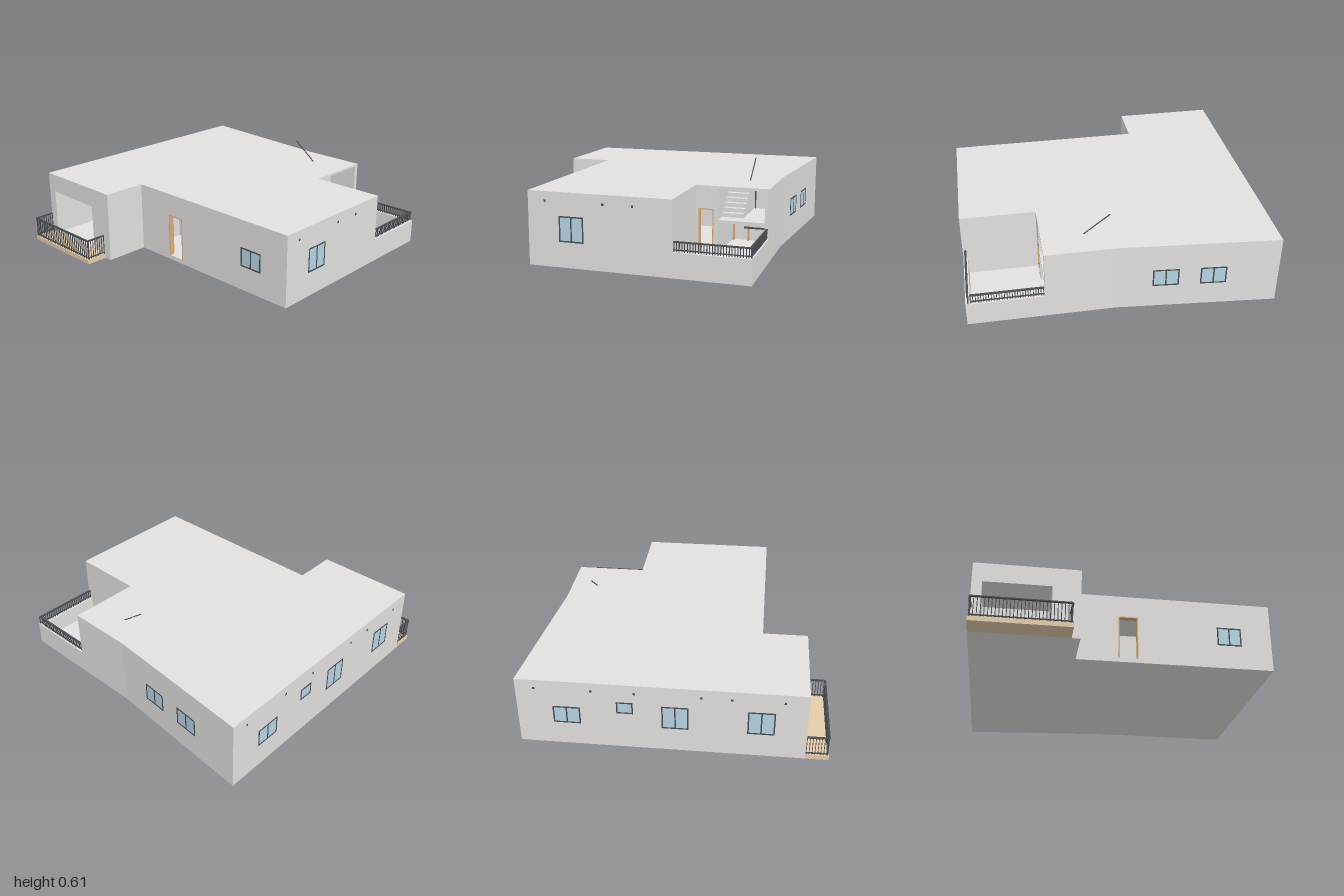
import * as THREE from 'three';

const mat = (name, color) => {
  const m = new THREE.MeshStandardMaterial({ color });
  m.name = name;
  return m;
};

export function createModel() {
  const house = new THREE.Group();
  house.name = 'house';
  const wall = mat('plaster grey', 0xe2e1df);
  const dark = mat('dark metal', 0x4a4e52);
  const glass = mat('window glass', 0xb8d5e5);
  const tan = mat('terrace tan', 0xe5cdab);
  const wood = mat('door wood', 0xdcae78);

  // Box between two corners
  function box(parent, name, m, x0, x1, y0, y1, z0, z1) {
    const mesh = new THREE.Mesh(new THREE.BoxGeometry(x1 - x0, y1 - y0, z1 - z0), m);
    mesh.position.set((x0 + x1) / 2, (y0 + y1) / 2, (z0 + z1) / 2);
    mesh.name = name;
    parent.add(mesh);
  }

  // One storey slice of the house; cut-outs make the balcony, stairwell, terrace room and doorways
  function slice(name, y0, y1, { notch = false, stair = false, room = false, doors = false }) {
    const p = [[-0.835, -1], [0.9825, -1], [0.8925, 0.05]];
    if (notch) {
      p.push([0.8925, 0.5]);
      if (stair) p.push([0.863, 0.5], [0.863, 0.06], [0.56, 0.06], [0.56, 0.5]);
      if (doors) p.push([0.53, 0.5], [0.53, -0.25], [-0.2, -0.25], [-0.2, 0.46], [0.43, 0.46], [0.43, 0.5]);
      p.push([0.41, 0.5], [0.41, 1]);
    } else p.push([0.8925, 1]);
    p.push([-0.535, 1]);
    if (doors) p.push([-0.535, 0.09], [-0.5, 0.09], [-0.5, 0.4], [-0.25, 0.4],
      [-0.25, -0.25], [-0.5, -0.25], [-0.5, -0.04], [-0.535, -0.04]);
    p.push([-0.535, -0.32], [-0.835, -0.32]);
    if (room) p.push([-0.835, -0.5], [-0.5, -0.5], [-0.5, -0.935], [-0.835, -0.935]);
    const shape = new THREE.Shape(p.map(([x, z]) => new THREE.Vector2(x, -z)));
    const geo = new THREE.ExtrudeGeometry(shape, { depth: y1 - y0, bevelEnabled: false });
    geo.rotateX(-Math.PI / 2);
    const mesh = new THREE.Mesh(geo, wall);
    mesh.position.y = y0;
    mesh.name = name;
    house.add(mesh);
  }
  slice('floorSlab', 0, 0.03, {});
  slice('lowerWalls', 0.03, 0.33, { notch: true, stair: true, room: true, doors: true });
  slice('lintelWalls', 0.33, 0.35, { notch: true, stair: true, room: true });
  slice('upperWalls', 0.35, 0.465, { notch: true, stair: true });
  slice('roof', 0.465, 0.48, { notch: true });

  // Balcony parapet
  box(house, 'parapetFront', wall, 0.41, 0.8925, 0.03, 0.16, 0.97, 1);
  box(house, 'parapetSide', wall, 0.8675, 0.8925, 0.03, 0.16, 0.5, 0.97);

  // Stairwell: landing, steps, post and the handrail that passes through the roof
  box(house, 'landing', wall, 0.56, 0.863, 0.24, 0.26, 0.06, 0.5);
  for (let i = 0; i < 7; i++) {
    const y = 0.26 + i * 0.027;
    box(house, 'step', wall, 0.56, 0.705, y, y + 0.027, 0.06, 0.4 - i * 0.036);
  }
  box(house, 'stairPost', dark, 0.711, 0.718, 0.26, 0.39, 0.065, 0.072);
  const a = new THREE.Vector3(0.708, 0.44, 0.277), b = new THREE.Vector3(0.708, 0.61, 0.055);
  const rail = new THREE.Mesh(new THREE.BoxGeometry(0.006, 0.005, a.distanceTo(b)), dark);
  rail.position.copy(a).add(b).multiplyScalar(0.5);
  rail.lookAt(b);
  rail.name = 'stairHandrail';
  house.add(rail);
  box(house, 'lowerRail', dark, 0.72, 0.863, 0.205, 0.215, 0.44, 0.45);

  // Group on a wall: local +z points out of the wall
  function onWall(name, x, y, z, ry) {
    const g = new THREE.Group();
    g.name = name;
    g.position.set(x, y, z);
    g.rotation.y = ry;
    house.add(g);
    return g;
  }

  // Flush window, centred sideways on the given point; uprights at -1..1 across the width
  function addWindow(x, z, ry, w, y0, y1, uprights = [-1, 0, 1]) {
    const g = onWall('window', x, y0, z, ry);
    const h = y1 - y0, t = 0.009, d = 0.0025;
    box(g, 'glass', glass, -w / 2, w / 2, 0, h, -0.002, 0.0012);
    box(g, 'frameBottom', dark, -w / 2, w / 2, 0, t, -0.002, d);
    box(g, 'frameTop', dark, -w / 2, w / 2, h - t, h, -0.002, d);
    for (const s of uprights) {
      const c = s * (w - t) / 2;
      box(g, 'frameUpright', dark, c - t / 2, c + t / 2, t, h - t, -0.002, d);
    }
  }
  const back = Math.PI, left = -Math.PI / 2, slant = Math.atan2(1.05, 0.09);
  addWindow(-0.243, 1, 0, 0.164, 0.165, 0.33);
  addWindow(-0.535, 0.71, left, 0.165, 0.165, 0.295);
  for (const z of [-0.272, -0.578])
    addWindow(0.8925 + 0.09 * (0.05 - z) / 1.05, z, slant, 0.17, 0.165, 0.292);
  addWindow(0.667, -1, back, 0.175, 0.165, 0.29);
  addWindow(0.297, -1, back, 0.105, 0.265, 0.35, [-1, 1]);
  addWindow(-0.018, -1, back, 0.17, 0.17, 0.338);
  addWindow(-0.552, -1, back, 0.17, 0.17, 0.338);

  // Small square vents under the roof
  function addVent(x, z, ry) {
    box(onWall('vent', x, 0.42, z, ry), 'ventPlate', dark, -0.007, 0.007, -0.007, 0.007, -0.002, 0.002);
  }
  for (const x of [-0.42, -0.033, 0.159]) addVent(x, 1, 0);
  for (const x of [0.863, 0.504, 0.234, -0.18, -0.368, -0.69]) addVent(x, -1, back);

  // Wooden surround lining a doorway
  function addDoorFrame(x, z, ry, w, h) {
    const g = onWall('doorFrame', x, 0.03, z, ry);
    const t = 0.007, z0 = -0.035, z1 = 0.0015;
    box(g, 'doorHead', wood, -w / 2, w / 2, h - t, h, z0, z1);
    for (const s of [-1, 1]) {
      const c = s * (w - t) / 2;
      box(g, 'doorJamb', wood, c - t / 2, c + t / 2, 0, h - t, z0, z1);
    }
  }
  addDoorFrame(0.48, 0.5, 0, 0.1, 0.3);
  addDoorFrame(-0.535, 0.025, left, 0.13, 0.3);
  addDoorFrame(0.62, 0.096, 0, 0.11, 0.2);

  // Railing along a straight line, with balusters between two rails
  function addRailing(x0, z0, x1, z1, y0, y1, count, t) {
    const len = Math.hypot(x1 - x0, z1 - z0);
    const g = onWall('railing', x0, y0, z0, -Math.atan2(z1 - z0, x1 - x0));
    const h = y1 - y0;
    box(g, 'topRail', dark, 0, len, h - 0.008, h, -0.007, 0.007);
    box(g, 'bottomRail', dark, 0, len, 0.01, 0.016, -0.004, 0.004);
    for (let i = 0; i <= count; i++) {
      const c = t / 2 + (len - t) * i / count;
      box(g, 'baluster', dark, c - t / 2, c + t / 2, 0, h - 0.008, -t / 2, t / 2);
    }
  }
  addRailing(0.413, 0.983, 0.89, 0.983, 0.16, 0.226, 28, 0.005);
  addRailing(0.88, 0.97, 0.88, 0.505, 0.16, 0.226, 28, 0.005);

  // Raised terrace on the back corner
  box(house, 'terrace', tan, -0.9825, -0.835, 0, 0.03, -1, -0.375);
  addRailing(-0.974, -0.993, -0.974, -0.382, 0.03, 0.17, 28, 0.005);
  for (const z of [-0.993, -0.382]) addRailing(-0.97, z, -0.838, z, 0.03, 0.17, 7, 0.004);

  return house;
}
